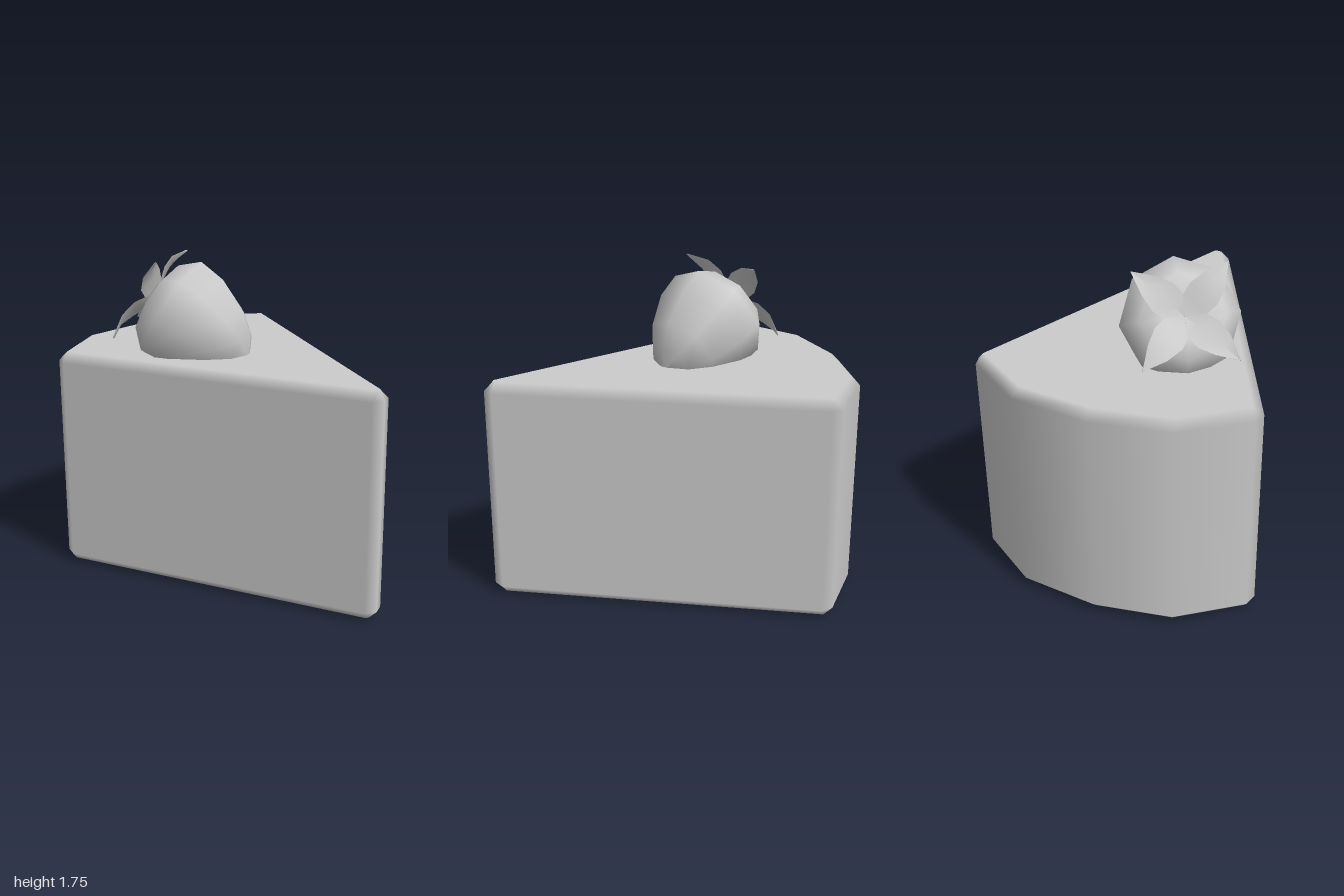
import * as THREE from 'three';

const grey = (side = THREE.FrontSide) => new THREE.MeshStandardMaterial({ color: 0xcccccc, side });

function meshFrom(positions, index, normals) {
  const g = new THREE.BufferGeometry();
  g.setAttribute('position', new THREE.Float32BufferAttribute(positions, 3));
  g.setIndex(index);
  if (normals) g.setAttribute('normal', new THREE.Float32BufferAttribute(normals, 3));
  else g.computeVertexNormals();
  return g;
}

// Wedge with softened bevels: large faces keep flat normals, bevels blend between them
function cakeGeometry() {
  // wall x, wall z, cap x, cap z, normal x, normal z (tip to middle of the back)
  const half = [
    [0, 1, 0, 0.95, 0, 1],
    [0.06, 0.97, 0.02, 0.945, 0.916, 0.401],
    [0.765, -0.64, 0.72, -0.67, 0.916, 0.401],
    [0.745, -0.71, 0.72, -0.67, 0.578, -0.816],
    [0.42, -0.94, 0.40, -0.895, 0.37, -0.93],
    [0, -1, 0, -0.95, 0, -1],
  ];
  const mirrored = half.slice(1, -1).reverse().map(([x, z, cx, cz, nx, nz]) => [-x, z, -cx, cz, -nx, nz]);
  const outline = [...half, ...mirrored];
  const n = outline.length;
  const pos = [], nor = [], idx = [];
  const levels = [[0, -1], [0.05, 0], [1.18, 0], [1.23, 1]]; // height, cap direction
  for (const [y, cap] of levels) {
    for (const [x, z, cx, cz, nx, nz] of outline) {
      if (cap) { pos.push(cx, y, cz); nor.push(0, cap, 0); }
      else { pos.push(x, y, z); nor.push(nx, 0, nz); }
    }
  }
  pos.push(0, 0, -0.2, 0, 1.23, -0.2);
  nor.push(0, -1, 0, 0, 1, 0);
  for (let i = 0; i < n; i++) {
    const j = (i + 1) % n;
    for (let r = 0; r < 3; r++) {
      const a = r * n, b = a + n;
      idx.push(a + i, a + j, b + j, a + i, b + j, b + i);
    }
    idx.push(4 * n, j, i, 4 * n + 1, 3 * n + i, 3 * n + j);
  }
  return meshFrom(pos, idx, nor);
}

// Pointed leaf along +x: rows of distance, half width, height
function leafGeometry() {
  const rows = [[0, 0, 0.125], [0.075, 0.075, 0.148], [0.14, 0.085, 0.172], [0.23, 0.06, 0.185], [0.345, 0, 0.16]];
  const pos = [], idx = [];
  rows.forEach(([d, w, h], r) => {
    pos.push(d, h, w, d, h - 0.01, 0, d, h, -w);
    if (r === 0) return;
    for (let k = 0; k < 2; k++) {
      const a = (r - 1) * 3 + k, b = r * 3 + k;
      idx.push(a, b, b + 1, a, b + 1, a + 1);
    }
  });
  return meshFrom(pos, idx);
}

export function createModel() {
  const model = new THREE.Group();
  const add = (parent, name, geometry, material) => {
    const mesh = new THREE.Mesh(geometry, material);
    mesh.name = name;
    parent.add(mesh);
    return mesh;
  };

  add(model, 'cakeSlice', cakeGeometry(), grey());

  // Strawberry lying with its leafy end up, back and to the right
  const berry = new THREE.Group();
  berry.name = 'strawberry';
  const axis = new THREE.Vector3(-0.439, 0.511, -0.74).normalize();
  const side = new THREE.Vector3(-0.808, -0.588, 0.073);
  side.addScaledVector(axis, -side.dot(axis)).normalize();
  const third = new THREE.Vector3().crossVectors(side, axis);
  berry.quaternion.setFromRotationMatrix(new THREE.Matrix4().makeBasis(side, axis, third));
  berry.position.set(-0.23, 1.45, -0.34);
  model.add(berry);

  // Fruit body, radius and height from tip to dimple
  const profile = [[0, -0.5], [0.13, -0.43], [0.22, -0.32], [0.295, -0.15], [0.31, 0], [0.22, 0.1], [0.12, 0.13], [0, 0.1]]
    .map(([r, y]) => new THREE.Vector2(r, y));
  add(berry, 'fruit', new THREE.LatheGeometry(profile, 8), grey());

  // Four leaves in a cross
  const leaf = leafGeometry();
  const leafMaterial = grey(THREE.DoubleSide);
  for (let i = 0; i < 4; i++) {
    add(berry, 'leaf' + (i + 1), leaf, leafMaterial).rotation.y = i * Math.PI / 2;
  }
  return model;
}
